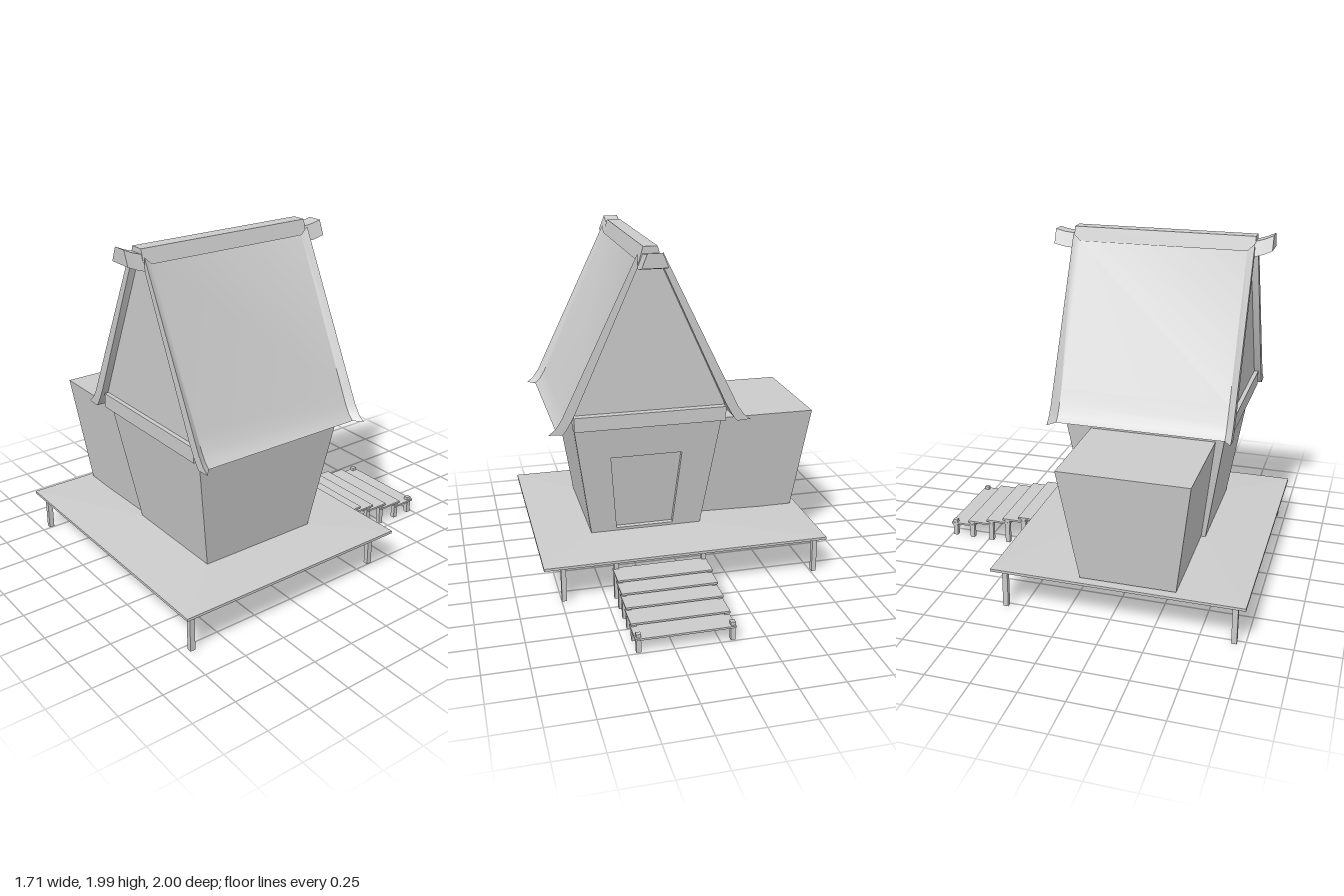
import * as THREE from 'three';
import { toCreasedNormals } from 'three/addons/utils/BufferGeometryUtils.js';

const material = new THREE.MeshStandardMaterial({ color: 0xcccccc, side: THREE.DoubleSide });
const CX = 0.19; // centre line of the house

function addMesh(parent, name, geometry) {
  const mesh = new THREE.Mesh(geometry, material);
  mesh.name = name;
  parent.add(mesh);
  return mesh;
}

function box(parent, name, x0, x1, y0, y1, z0, z1) {
  const mesh = addMesh(parent, name, new THREE.BoxGeometry(x1 - x0, y1 - y0, z1 - z0));
  mesh.position.set((x0 + x1) / 2, (y0 + y1) / 2, (z0 + z1) / 2);
  return mesh;
}

// Skin through closed rings with an even number of points, capped at both ends
function loft(rings, crease = 0) {
  const pos = [];
  const quad = (a, b, c, d) => pos.push(...a, ...b, ...c, ...a, ...c, ...d);
  const n = rings[0].length;
  for (let i = 0; i < rings.length - 1; i++) {
    const a = rings[i], b = rings[i + 1];
    for (let j = 0; j < n; j++) {
      const k = (j + 1) % n;
      quad(a[j], a[k], b[k], b[j]);
    }
  }
  const first = rings[0], last = rings[rings.length - 1];
  for (let j = 0; j < n / 2 - 1; j++) {
    quad(last[j], last[j + 1], last[n - 2 - j], last[n - 1 - j]);
    quad(first[n - 1 - j], first[n - 2 - j], first[j + 1], first[j]);
  }
  const geometry = new THREE.BufferGeometry();
  geometry.setAttribute('position', new THREE.Float32BufferAttribute(pos, 3));
  geometry.computeVertexNormals();
  return crease ? toCreasedNormals(geometry, crease) : geometry;
}

// Horizontal rectangle as a ring
const rect = (y, x0, x1, z0, z1) => [[x0, y, z1], [x1, y, z1], [x1, y, z0], [x0, y, z0]];

// Upright trapezoid as a ring, centred on the house
const trapezoid = (z, y0, y1, w0, w1) =>
  [[CX - w0, y0, z], [CX + w0, y0, z], [CX + w1, y1, z], [CX - w1, y1, z]];

function buildDeck(parent) {
  // Slightly crowned floor
  addMesh(parent, 'deck', loft([
    rect(0.215, -0.14, 0.52, -0.06, 0.62),
    rect(0.228, -0.82, 0.85, -0.42, 1),
    rect(0.243, -0.82, 0.85, -0.42, 1),
    rect(0.262, -0.14, 0.52, -0.06, 0.645),
  ]));
  const legs = [[-0.77, 0.94], [0.79, 0.94], [-0.77, -0.35], [0.735, -0.35]];
  for (const [x, z] of legs) {
    box(parent, 'deckLeg', x - 0.014, x + 0.014, 0, 0.23, z - 0.015, z + 0.015);
  }
}

function buildSteps(parent) {
  const back = [-0.545, -0.65, -0.76, -0.885, -1];
  back.forEach((z, i) => {
    const y = 0.175 - i * 0.025;
    box(parent, 'stepTread', -0.085, 0.46, y, y + 0.011, z, z + 0.158);
  });
  // Pairs of posts given as [z, height]
  const posts = [[-0.392, 0.23], [-0.513, 0.178], [-0.62, 0.153],
    [-0.73, 0.128], [-0.86, 0.105], [-0.975, 0.105]];
  for (const [z, h] of posts) {
    for (const x of [-0.07, 0.44]) {
      box(parent, 'stepPost', x - 0.013, x + 0.013, 0, h, z - 0.014, z + 0.014);
    }
  }
}

function buildWalls(parent) {
  // Flared main room; its back is set in behind the doorway wall
  addMesh(parent, 'mainRoom', loft([
    rect(0.25, -0.14, 0.52, -0.035, 0.645),
    rect(1.04, -0.25, 0.635, -0.16, 0.77),
  ]));

  // Leaning back wall with a tapered door opening
  const lean = Math.atan2(0.125, 0.79);
  const wall = new THREE.Shape([[-0.14, 0], [0.52, 0], [0.635, 0.8], [-0.25, 0.8]]
    .map(([x, y]) => new THREE.Vector2(x, y)));
  wall.holes.push(new THREE.Path([[0.03, 0.03], [-0.01, 0.51], [0.41, 0.51], [0.37, 0.03]]
    .map(([x, y]) => new THREE.Vector2(x, y))));
  const backWall = addMesh(parent, 'doorwayWall',
    new THREE.ExtrudeGeometry(wall, { depth: 0.03, bevelEnabled: false }));
  backWall.position.set(0, 0.25, -0.06);
  backWall.rotation.x = -lean;

  // Side room, flared the same way
  addMesh(parent, 'sideRoom', loft([
    rect(0.25, -0.775, -0.08, 0.085, 0.62),
    rect(0.9, -0.855, -0.1, -0.02, 0.7),
  ]));

  // Gable block and the beams under it
  addMesh(parent, 'gable', loft([
    trapezoid(-0.19, 1.04, 1.88, 0.442, 0.065),
    trapezoid(0.77, 1.04, 1.88, 0.442, 0.065),
  ]));
  box(parent, 'frontBeam', -0.245, 0.63, 0.96, 1.043, 0.74, 0.795);
  box(parent, 'backBeam', -0.245, 0.63, 0.96, 1.043, -0.235, -0.15);
}

function buildRoof(parent) {
  // Half profiles from eave to ridge, as [distance from centre, height]
  const rim = [[0.583, 0.955], [0.545, 0.985], [0.507, 1.04], [0.444, 1.17], [0.07, 1.94]];
  const main = [[0.535, 0.957], [0.505, 0.985], [0.475, 1.035], [0.432, 1.125], [0.07, 1.9]];
  const under = [[0.505, 0.95], [0.485, 0.972], [0.462, 1.01], [0.432, 1.065], [0.07, 1.863]];
  for (const side of [-1, 1]) {
    const ring = (outer, z) => {
      const points = [...outer, ...under.slice().reverse()]
        .map(([d, y]) => [CX + side * d, y, z]);
      return side < 0 ? points.reverse() : points;
    };
    addMesh(parent, side < 0 ? 'rightRoof' : 'leftRoof', loft([
      ring(rim, -0.23), ring(main, -0.19), ring(main, 0.77), ring(rim, 0.81),
    ], 0.5));
  }

  // Ridge cap with upturned ends
  addMesh(parent, 'ridgeCap', loft([
    trapezoid(-0.23, 1.87, 1.975, 0.07, 0.04),
    trapezoid(0.81, 1.87, 1.975, 0.07, 0.04),
  ]));
  const ridgeEnd = (name, stations) => addMesh(parent, name,
    loft(stations.map(([z, y]) => trapezoid(z, y, y + 0.08, 0.074, 0.042)), 0.5));
  ridgeEnd('frontRidgeEnd', [[0.76, 1.86], [0.81, 1.868], [0.86, 1.884], [0.907, 1.905]]);
  ridgeEnd('backRidgeEnd', [[-0.345, 1.875], [-0.29, 1.862], [-0.23, 1.856], [-0.19, 1.856]]);
}

export function createModel() {
  const group = new THREE.Group();
  group.name = 'stiltHouse';
  const parts = { deck: buildDeck, steps: buildSteps, walls: buildWalls, roof: buildRoof };
  for (const [name, build] of Object.entries(parts)) {
    const part = new THREE.Group();
    part.name = name;
    build(part);
    group.add(part);
  }
  return group;
}
